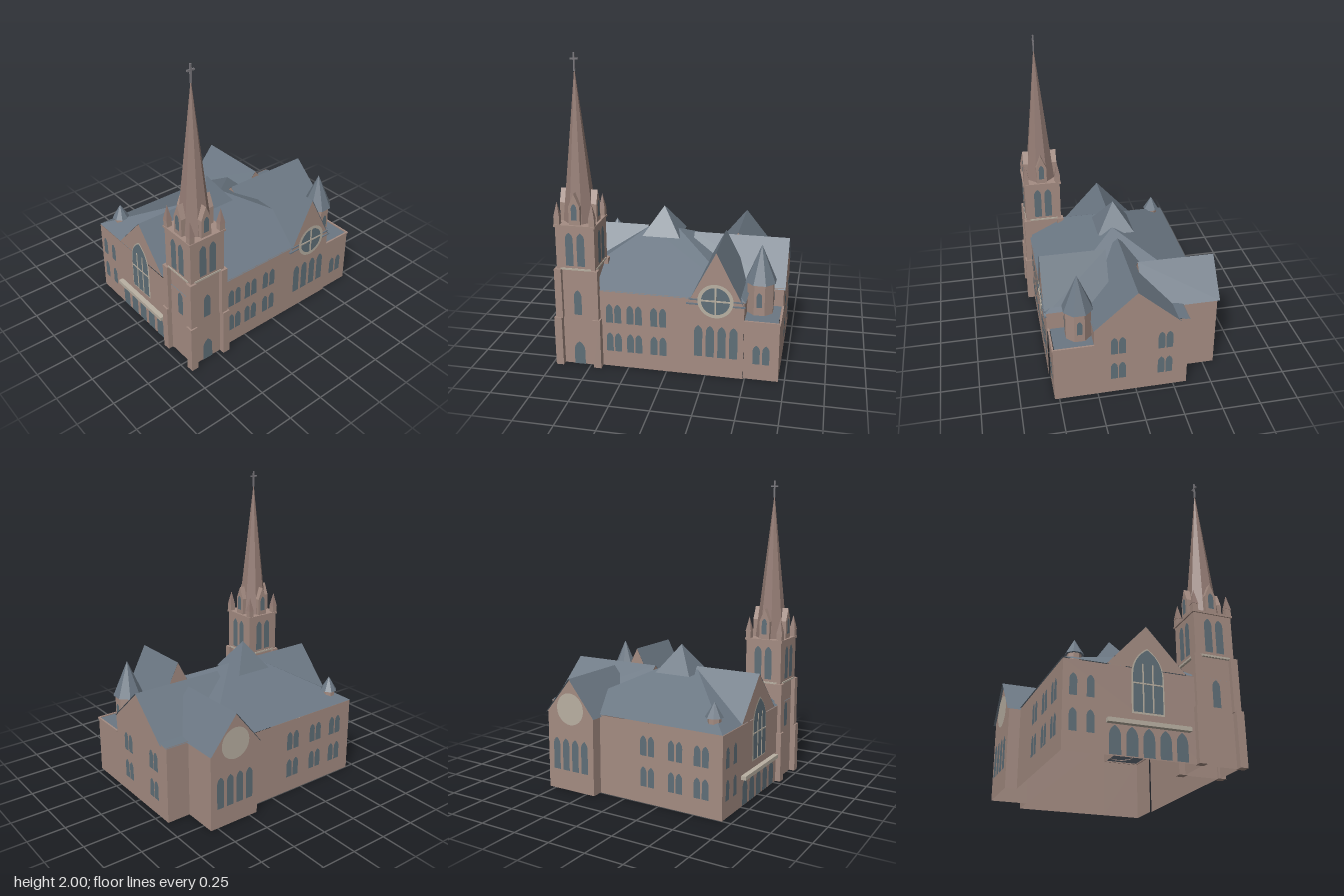
import * as THREE from 'three';

const mat = (name, color, side = THREE.FrontSide) => {
  const m = new THREE.MeshStandardMaterial({ color, side, flatShading: true });
  m.name = name;
  return m;
};

export function createModel() {
  const root = new THREE.Group();
  root.name = 'church';
  const stone = mat('stone', 0xa48c82, THREE.DoubleSide);
  const slate = mat('slate', 0x6b7783, THREE.DoubleSide);
  const glass = mat('glass', 0x5f6f78);
  const trim = mat('trim', 0xb9b0a2);
  const spireStone = mat('spireStone', 0x957d75);
  const metal = mat('metal', 0x77757a);

  const add = (name, geo, m, x = 0, y = 0, z = 0, ry = 0, parent = root) => {
    const mesh = new THREE.Mesh(geo, m);
    mesh.name = name;
    mesh.position.set(x, y, z);
    mesh.rotation.y = ry;
    parent.add(mesh);
    return mesh;
  };
  const box = (name, m, w, h, d, x, y, z, parent) =>
    add(name, new THREE.BoxGeometry(w, h, d), m, x, y, z, 0, parent);

  // Open surface made of flat convex polygons
  const sheet = (name, m, faces, parent) => {
    const pos = [];
    for (const f of faces)
      for (let i = 1; i < f.length - 1; i++) pos.push(...f[0], ...f[i], ...f[i + 1]);
    const g = new THREE.BufferGeometry();
    g.setAttribute('position', new THREE.Float32BufferAttribute(pos, 3));
    g.computeVertexNormals();
    return add(name, g, m, 0, 0, 0, 0, parent);
  };
  // Upright walls along a plan path of [x, z] points
  const walls = (name, path, y0, y1, parent) =>
    sheet(name, stone, path.slice(1).map(([x, z], i) => {
      const [a, b] = path[i];
      return [[a, y0, b], [x, y0, z], [x, y1, z], [a, y1, b]];
    }), parent);
  const square = (r) => [[-r, -r], [r, -r], [r, r], [-r, r], [-r, -r]];

  // Pointed-arch window, base at y
  const lancet = (w, h) => {
    const s = new THREE.Shape();
    const r = Math.min(w * 0.9, h * 0.5);
    s.moveTo(-w / 2, 0);
    s.lineTo(w / 2, 0);
    s.lineTo(w / 2, h - r);
    s.quadraticCurveTo(w / 2, h - r * 0.35, 0, h);
    s.quadraticCurveTo(-w / 2, h - r * 0.35, -w / 2, h - r);
    return new THREE.ShapeGeometry(s, 6);
  };
  const FRONT = 0, EAST = Math.PI / 2, BACK = Math.PI, WEST = -Math.PI / 2;
  const pane = (name, w, h, x, y, z, ry, m = glass, parent = root) =>
    add(name, lancet(w, h), m, x, y, z, ry, parent);

  // ---- Main walls ----
  walls('mainWalls', [[-0.69, 0.35], [-0.69, -0.5], [0.19, -0.5], [0.19, -0.575], [0.55, -0.575],
    [0.55, -0.34], [0.71, -0.34], [0.71, 0.27]], 0, 0.52);
  walls('frontWall', [[0.49, 0.54], [-0.47, 0.54]], 0, 0.53);
  walls('wingWalls', [[0.71, 0.27], [0.71, 0.53], [0.49, 0.53]], 0, 0.4);
  walls('wingUpperWalls', [[0.71, 0.27], [0.49, 0.27], [0.49, 0.54]], 0.38, 0.52);
  sheet('wingRoof', slate, [[[0.49, 0.395, 0.27], [0.7, 0.395, 0.27], [0.7, 0.395, 0.52], [0.49, 0.395, 0.52]]]);
  box('wingCornice', stone, 0.23, 0.012, 0.012, 0.6, 0.394, 0.53);
  box('wingCornice', stone, 0.012, 0.012, 0.26, 0.71, 0.394, 0.4);

  // ---- Hipped main roof ----
  const e = 0.525, top = 0.79;
  const A = [-0.69, e, -0.505], B = [0.5, e, -0.505], C = [0.5, e, 0.545], D = [-0.69, e, 0.545];
  const P = [-0.23, top, 0.01], Q = [-0.03, top, 0.01];
  sheet('mainRoof', slate, [[A, B, Q, P], [B, C, Q], [C, D, P, Q], [D, A, P]]);

  // Gabled roofs along x or z; both gable ends are stone
  const gable = (name, alongX, mid, half, eave, ridge, from, to, inset) => {
    const p = (s, y, t) => (alongX ? [t, y, mid + s] : [mid + s, y, t]);
    sheet(name + 'Roof', slate, [-1, 1].map((k) =>
      [p(0, ridge, from), p(0, ridge, to), p(k * half, eave, to), p(k * half, eave, from)]));
    const d = Math.sign(to - from) * inset;
    sheet(name + 'Gable', stone, [from, to - d].map((t) =>
      [p(-half, eave, t), p(half, eave, t), p(0, ridge - 0.003, t)]));
  };
  gable('east', true, -0.005, 0.28, 0.512, 0.765, 0.08, 0.72, 0.01);
  gable('west', true, 0, 0.245, 0.525, 0.795, -0.24, -0.69, 0.001);
  gable('frontTransept', false, 0.313, 0.175, 0.497, 0.84, 0.12, 0.55, 0.006);
  gable('backTransept', false, 0.367, 0.192, 0.51, 0.75, -0.08, -0.59, 0.015);
  sheet('backStripRoof', slate, [[[0.55, 0.515, -0.345], [0.715, 0.515, -0.345], [0.715, 0.53, -0.27], [0.55, 0.53, -0.27]]]);

  // Central roof pyramid
  const crown = add('crownRoof', new THREE.ConeGeometry(Math.SQRT1_2, 0.185, 4, 1, true).rotateY(Math.PI / 4),
    slate, -0.13, 0.843, -0.013);
  crown.scale.set(0.255, 1, 0.25);

  // ---- Turrets ----
  const turret = (name, x, z, r, y0, y1, roofR, y2) => {
    const turn = Math.PI / 8;
    add(name + 'Body', new THREE.CylinderGeometry(r, r, y1 - y0, 8, 1, true), stone, x, (y0 + y1) / 2, z, turn);
    add(name + 'Roof', new THREE.ConeGeometry(roofR, y2 - y1, 8), slate, x, (y1 + y2) / 2, z, turn);
  };
  turret('eastTurret', 0.57, 0.35, 0.088, 0.39, 0.6, 0.102, 0.84);
  turret('backTurret', -0.58, -0.4, 0.042, 0.5, 0.595, 0.057, 0.69);
  for (const a of [FRONT, EAST, BACK, WEST])
    pane('turretWindow', 0.035, 0.1, 0.57 + 0.085 * Math.sin(a), 0.45, 0.35 + 0.085 * Math.cos(a), a);

  // ---- Windows ----
  const rows = [0.11, 0.31];
  for (const y of rows) {
    for (const x of [-0.37, -0.315, -0.235, -0.18, -0.08, -0.022]) pane('frontWindow', 0.045, 0.13, x, y, 0.544, FRONT);
    for (const z of [0.143, 0.09, -0.165, -0.217]) pane('eastWindow', 0.045, 0.13, 0.714, y, z, EAST);
    for (const c of [-0.17, -0.37, -0.55])
      for (const k of [-1, 1]) pane('backWindow', 0.045, 0.13, c + k * 0.028, y, -0.504, BACK);
    for (const z of [-0.44, -0.34]) pane('westWindow', 0.045, 0.13, -0.694, y, z, WEST);
  }
  for (const x of [0.57, 0.63]) pane('wingWindow', 0.045, 0.13, x, 0.11, 0.534, FRONT);
  for (let i = 0; i < 4; i++) {
    pane('frontTranseptWindow', 0.052, 0.215, 0.205 + i * 0.074, 0.135, 0.544, FRONT);
    pane('backTranseptWindow', 0.052, 0.215, 0.258 + i * 0.074, 0.135, -0.579, BACK);
  }

  // Rose windows and the eave bars across the front gable
  box('eaveBar', slate, 0.37, 0.008, 0.015, 0.313, 0.495, 0.546);
  box('eaveBar', slate, 0.34, 0.008, 0.015, 0.313, 0.525, 0.544);
  add('roseGlass', new THREE.CircleGeometry(0.1, 32), glass, 0.313, 0.525, 0.555);
  add('roseRing', new THREE.RingGeometry(0.09, 0.112, 32), trim, 0.313, 0.525, 0.558);
  box('roseSpoke', trim, 0.01, 0.19, 0.004, 0.313, 0.525, 0.557);
  box('roseSpoke', trim, 0.19, 0.01, 0.004, 0.313, 0.525, 0.557);
  add('backRose', new THREE.CircleGeometry(0.105, 32), trim, 0.367, 0.55, -0.581, BACK);

  // ---- West entrance ----
  pane('westGreatWindowFrame', 0.2, 0.4, -0.694, 0.25, 0, WEST, trim);
  pane('westGreatWindow', 0.18, 0.38, -0.697, 0.26, 0, WEST);
  for (const z of [-0.03, 0.03]) box('westMullion', trim, 0.004, 0.29, 0.008, -0.698, 0.405, z);
  box('westTransom', trim, 0.004, 0.008, 0.18, -0.698, 0.43, 0);
  box('entranceCanopy', trim, 0.035, 0.025, 0.5, -0.705, 0.19, 0);
  for (let i = 0; i < 5; i++) pane('entranceDoor', 0.07, 0.165, -0.694, 0.005, -0.2 + i * 0.1, WEST);

  // ---- Tower ----
  const tower = new THREE.Group();
  tower.name = 'tower';
  tower.position.set(-0.573, 0, 0.437);
  root.add(tower);
  walls('towerShaft', square(0.114), 0, 0.67, tower);
  walls('belfry', square(0.126), 0.66, 0.95, tower);
  box('belfrySill', trim, 0.2, 0.012, 0.26, 0, 0.667, 0, tower);
  box('belfrySill', trim, 0.26, 0.012, 0.2, 0, 0.667, 0, tower);
  box('towerCornice', stone, 0.268, 0.014, 0.268, 0, 0.951, 0, tower);
  for (const sx of [-1, 1]) for (const sz of [-1, 1]) {
    box('lowerButtress', stone, 0.05, 0.335, 0.05, sx * 0.127, 0.1675, sz * 0.127, tower);
    box('upperButtress', stone, 0.046, 0.335, 0.046, sx * 0.119, 0.4975, sz * 0.119, tower);
    box('pinnacleBase', stone, 0.036, 0.05, 0.036, sx * 0.112, 0.98, sz * 0.112, tower);
    add('pinnacle', new THREE.ConeGeometry(0.028, 0.1, 4), spireStone, sx * 0.112, 1.053, sz * 0.112, Math.PI / 4, tower);
  }

  // Spire with four gabled dormers
  add('spire', new THREE.ConeGeometry(0.106, 0.96, 8), spireStone, 0, 1.435, 0, Math.PI / 8, tower);
  const d = new THREE.Shape([[-0.036, 0], [0.036, 0], [0.036, 0.12], [0, 0.205], [-0.036, 0.12]]
    .map(([x, y]) => new THREE.Vector2(x, y)));
  const dormer = new THREE.ExtrudeGeometry(d, { depth: 0.119, bevelEnabled: false });
  for (const a of [FRONT, EAST, BACK, WEST]) {
    const s = Math.sin(a), c = Math.cos(a);
    const put = (name, w, h, y, out, off = 0) =>
      pane(name, w, h, s * out + c * off, y, c * out - s * off, a, glass, tower);
    add('dormer', dormer, stone, 0, 0.955, 0, a, tower);
    put('dormerWindow', 0.036, 0.105, 0.99, 0.122);
    for (const off of [-0.037, 0.037]) put('belfryWindow', 0.05, 0.22, 0.69, 0.13, off);
    put('shaftWindow', 0.05, 0.17, 0.35, 0.118);
  }
  pane('towerDoor', 0.072, 0.16, 0, 0, 0.118, FRONT, glass, tower);

  // Cross
  box('crossPost', metal, 0.01, 0.11, 0.01, 0, 1.945, 0, tower);
  box('crossArm', metal, 0.05, 0.01, 0.01, 0, 1.963, 0, tower);
  return root;
}
